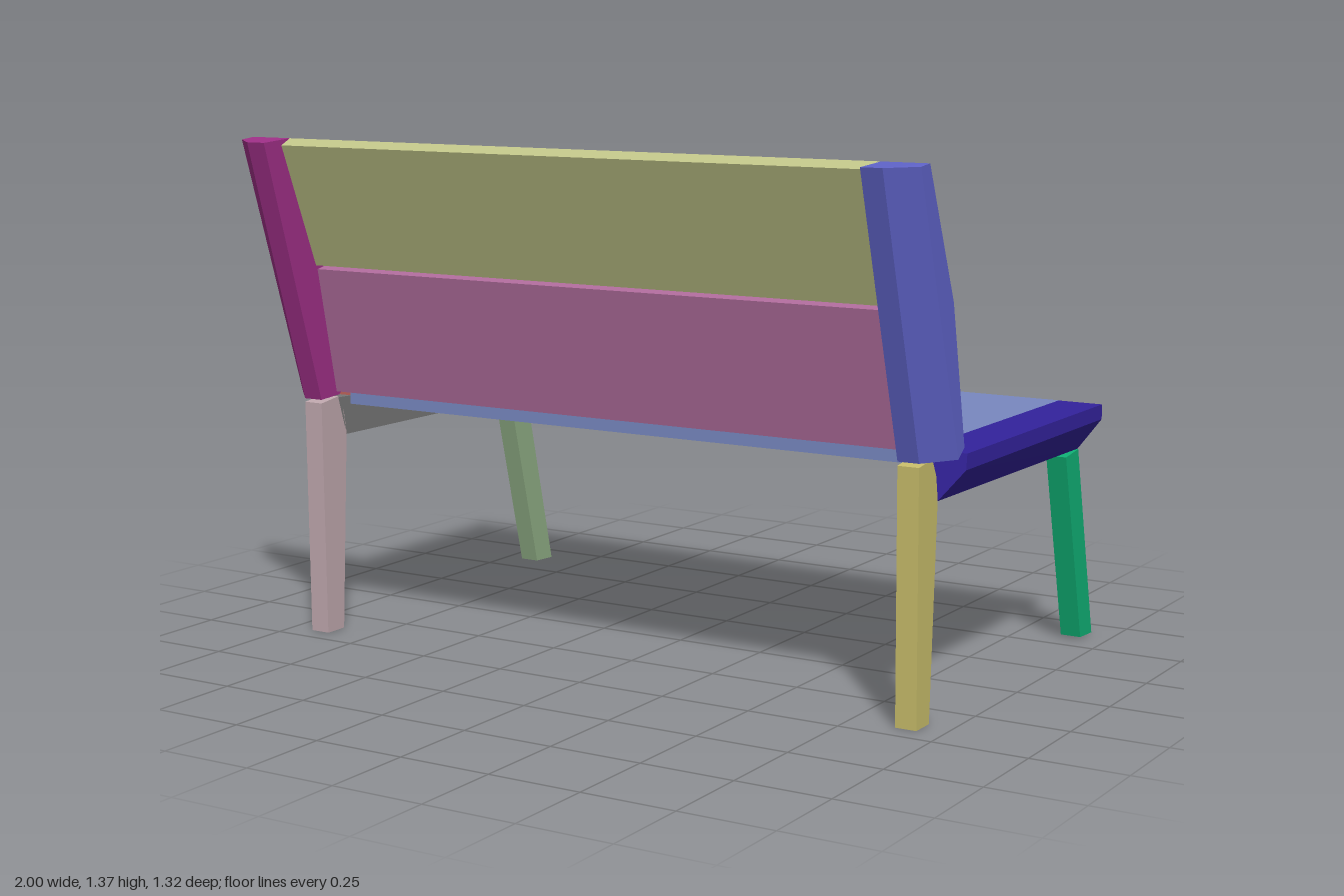
import * as THREE from 'three';
import { ConvexGeometry } from 'three/addons/geometries/ConvexGeometry.js';

function addPart(group, name, geometry, color) {
  const mesh = new THREE.Mesh(geometry, new THREE.MeshStandardMaterial({ color, flatShading: true }));
  mesh.name = name;
  group.add(mesh);
  return mesh;
}

// Solid hull around [z, y] outlines, each placed at its own x
function solid(...sections) {
  return new ConvexGeometry(sections.flatMap(([x, outline]) =>
    outline.map(([z, y]) => new THREE.Vector3(x, y, z))));
}

const prism = (x0, x1, outline) => solid([x0, outline], [x1, outline]);

function box(x0, x1, y0, y1, z0, z1) {
  return new THREE.BoxGeometry(x1 - x0, y1 - y0, z1 - z0)
    .translate((x0 + x1) / 2, (y0 + y1) / 2, (z0 + z1) / 2);
}

export function createModel() {
  const bench = new THREE.Group();
  bench.name = 'bench';

  const IN = 0.875, FRAME = 0.932, OUT = 1;

  // Side outlines as [z, y]
  const rearLeg = [[0.44, 0], [0.371, 0], [0.342, 0.55], [0.352, 0.61], [0.375, 0.655], [0.447, 0.645]];
  const frontLeg = [[-0.578, 0.006], [-0.658, 0.002], [-0.53, 0.538], [-0.447, 0.528]];
  const backFront = [[0.342, 0.685], [0.415, 1.04], [0.553, 1.372]];
  const backOuter = [...backFront, [0.6, 1.367], [0.375, 0.66]];
  const backInner = [...backFront, [0.658, 1.365], [0.447, 0.655], [0.37, 0.66]];

  // Legs and back ends on both sides
  for (const [s, side, rear, front, end] of [
    [1, 'left', 0xc8bd6a, 0x10b075, 0x5f63c8],
    [-1, 'right', 0xc0a8ae, 0x8fae85, 0xa03088],
  ]) {
    addPart(bench, side + 'RearLeg', prism(s * IN, s * FRAME, rearLeg), rear);
    addPart(bench, side + 'FrontLeg', prism(s * IN, s * FRAME, frontLeg), front);
    addPart(bench, side + 'BackEnd',
      solid([s * IN, backInner], [s * FRAME, backInner], [s * OUT, backOuter]), end);
  }

  // Seat panel
  addPart(bench, 'seat', box(-IN, IN, 0.627, 0.667, -0.525, 0.322), 0x7888c0);

  // Left seat end: full width on top, sloping in to the frame below
  const endOuter = [[-0.522, 0.667], [-0.522, 0.627], [0.33, 0.627], [0.325, 0.667]];
  const endInner = [[-0.522, 0.667], [-0.525, 0.54], [0.342, 0.547], [0.325, 0.667]];
  addPart(bench, 'leftSeatEnd',
    solid([IN, endInner], [FRAME, [[-0.525, 0.54], [0.342, 0.547]]], [OUT, endOuter]), 0x33229c);

  // Right seat end: open slats on a rail
  for (let i = 0; i < 8; i++) {
    const z = -0.525 + i * 0.108;
    addPart(bench, 'seatSlatEnd' + (i + 1), box(-OUT, -IN, 0.627, 0.667, z, z + 0.09), 0xc0655c);
  }
  addPart(bench, 'rightSeatRail', prism(-FRAME, -IN,
    [[-0.51, 0.627], [-0.51, 0.54], [0.342, 0.545], [0.375, 0.652], [0.33, 0.63]]), 0x777777);

  // Two backrest panels
  addPart(bench, 'lowerBackPanel', prism(-IN, IN,
    [[0.342, 0.678], [0.412, 1.022], [0.451, 1.014], [0.381, 0.67]]), 0xb06c9c);
  addPart(bench, 'upperBackPanel', prism(-IN, IN,
    [[0.42, 1.04], [0.553, 1.372], [0.588, 1.355], [0.457, 1.025]]), 0xc0c488);

  return bench;
}
